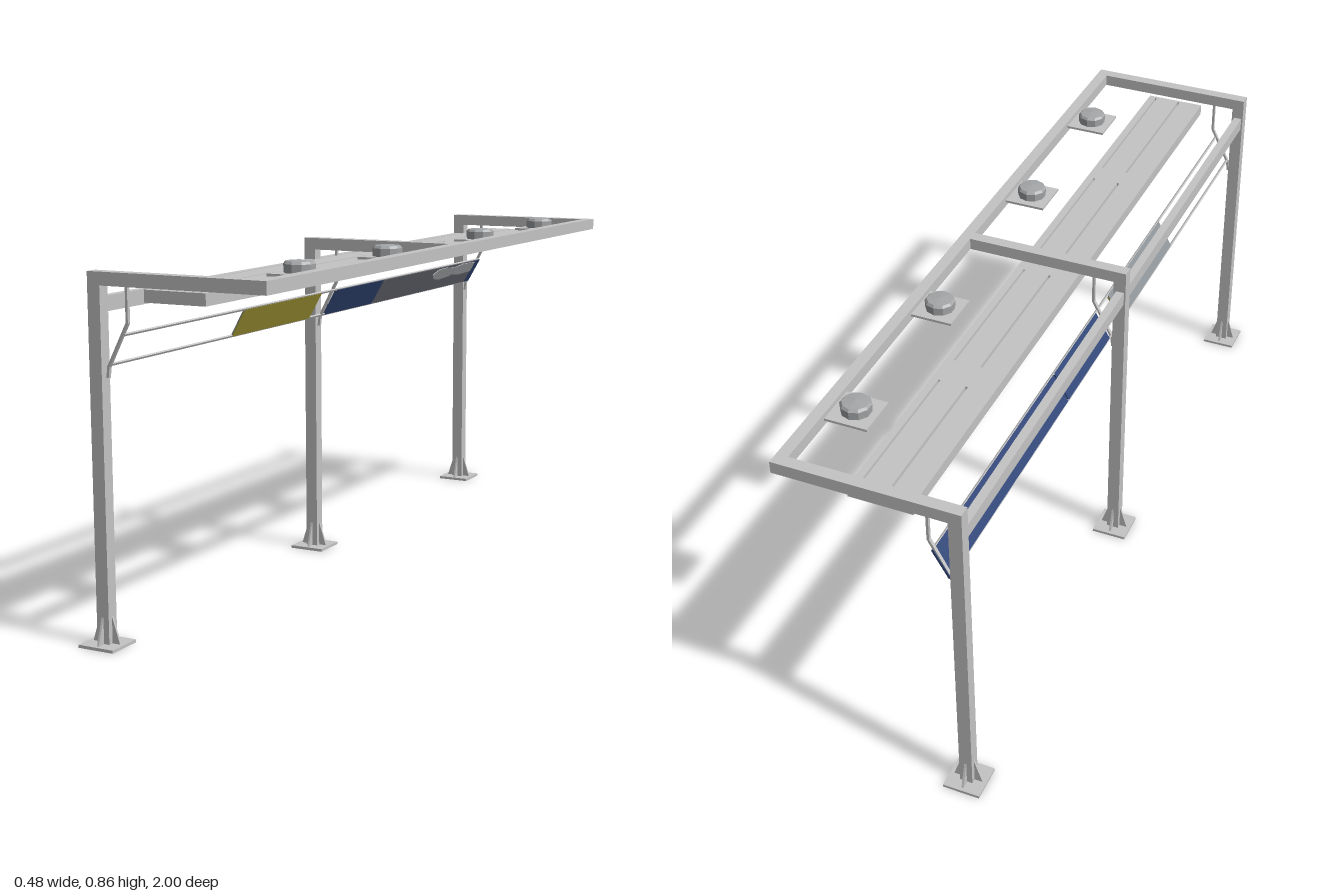
import * as THREE from 'three';

const mat = (name, color) => Object.assign(new THREE.MeshStandardMaterial({ color }), { name });

export function createModel() {
  const root = new THREE.Group();
  root.name = 'lightingGantry';
  const steel = mat('lightSteel', 0xc4c4c4);
  const lampGrey = mat('lampGrey', 0xa4a6a8);
  const navy = mat('navy', 0x34497a);
  const slate = mat('slateGrey', 0x70707c);
  const pale = mat('paleGrey', 0xb0b4b6);
  const backGrey = mat('panelGrey', 0x8e9498);
  const olive = mat('oliveYellow', 0xb5a83a);

  const add = (name, geo, m, parent = root) => {
    const mesh = new THREE.Mesh(geo, m);
    mesh.name = name;
    parent.add(mesh);
    return mesh;
  };
  // Box given by its limits on each axis
  const box = (name, m, x0, x1, y0, y1, z0, z1, parent = root) => {
    const b = add(name, new THREE.BoxGeometry(x1 - x0, y1 - y0, z1 - z0), m, parent);
    b.position.set((x0 + x1) / 2, (y0 + y1) / 2, (z0 + z1) / 2);
    return b;
  };
  // Thin square bar through a list of [x, y] points at one z
  const bar = (name, pts, z, t, parent) => {
    for (let i = 1; i < pts.length; i++) {
      const [x0, y0] = pts[i - 1], [x1, y1] = pts[i];
      const b = add(name, new THREE.BoxGeometry(t, Math.hypot(x1 - x0, y1 - y0) + t * 0.4, t * 1.4), steel, parent);
      b.position.set((x0 + x1) / 2, (y0 + y1) / 2, z);
      b.rotation.z = -Math.atan2(x1 - x0, y1 - y0);
    }
  };

  // Gusset fin standing on the base plate
  const finShape = new THREE.Shape([[0, 0], [0.02, 0], [0, 0.062]].map(p => new THREE.Vector2(...p)));
  const finGeo = new THREE.ExtrudeGeometry(finShape, { depth: 0.005, bevelEnabled: false });
  finGeo.translate(0.016, 0.007, -0.0025);

  // Three portal frames: post, base, arm and bracket
  const postX = -0.194;
  for (const z of [-0.955, 0, 0.955]) {
    const frame = new THREE.Group();
    frame.name = 'portalFrame';
    root.add(frame);
    box('post', steel, postX - 0.016, postX + 0.016, 0.005, 0.84, z - 0.015, z + 0.015, frame);
    box('basePlate', steel, postX - 0.046, postX + 0.046, 0, 0.007, z - 0.045, z + 0.045, frame);
    for (let i = 0; i < 4; i++) {
      const fin = add('gusset', finGeo, steel, frame);
      fin.position.set(postX, 0, z);
      fin.rotation.y = i * Math.PI / 2;
    }
    box('arm', steel, postX + 0.016, 0.209, 0.81, 0.84, z - 0.015, z + 0.015, frame);
    bar('bracket', [[-0.121, 0.812], [-0.121, 0.73], [-0.172, 0.632], [-0.175, 0.608]], z - Math.sign(z) * 0.006, 0.006, frame);
  }

  // Long beams
  box('frontBeam', steel, 0.209, 0.238, 0.81, 0.84, -0.97, 0.97);
  box('rearBeam', steel, -0.206, -0.185, 0.75, 0.784, -0.95, 0.95);

  // Overhead tray: three slats with narrow slots, closed by bridges
  for (const [x0, x1] of [[-0.084, -0.021], [-0.015, 0.048], [0.053, 0.072]])
    box('traySlat', steel, x0, x1, 0.775, 0.803, -0.94, 0.94);
  for (const [x0, x1] of [[-0.021, -0.015], [0.048, 0.053]]) {
    for (const [z0, z1] of [[-0.94, -0.93], [-0.53, -0.45], [-0.04, 0.02], [0.44, 0.5], [0.93, 0.94]])
      box('trayBridge', steel, x0, x1, 0.775, 0.803, z0, z1);
  }

  // Lamps on square plates along the front beam
  const lampGeo = new THREE.LatheGeometry([[0.036, 0], [0.037, 0.02], [0.032, 0.026], [0, 0.029]]
    .map(p => new THREE.Vector2(...p)), 10).toNonIndexed();
  lampGeo.computeVertexNormals();
  for (const z of [-0.73, -0.30, 0.26, 0.69]) {
    const lamp = new THREE.Group();
    lamp.name = 'lamp';
    lamp.position.set(0.157, 0.828, z);
    root.add(lamp);
    box('lampPlate', steel, -0.053, 0.053, -0.006, 0, -0.053, 0.053, lamp);
    add('lampHousing', lampGeo, lampGrey, lamp);
    add('lampLens', new THREE.CylinderGeometry(0.037, 0.037, 0.004, 10), navy, lamp).position.y = -0.007;
  }

  // Sloping sign row; local +x is the face looking down and forward
  const signs = new THREE.Group();
  signs.name = 'signRow';
  signs.position.set(-0.15, 0.67, 0);
  signs.rotation.z = -Math.atan2(0.04, 0.07);
  root.add(signs);
  const h = 0.039;
  for (const y of [-h, h]) box('signRail', steel, -0.0025, 0.0025, y - 0.0025, y + 0.0025, -0.95, 0.95, signs);
  const panel = (name, back, front, z0, z1) => {
    box(name + 'Back', back, -0.003, 0, -h, h, z0, z1, signs);
    box(name + 'Face', front, 0, 0.003, -h, h, z0, z1, signs);
  };
  panel('shortPanel', backGrey, olive, 0.07, 0.45);
  panel('innerPanel', navy, navy, -0.288, -0.015);
  panel('middlePanel', navy, slate, -0.92, -0.293);
  panel('endPanel', navy, navy, -0.955, -0.92);

  // Pale silhouettes on the middle panel
  const patch = pts => {
    const g = new THREE.ExtrudeGeometry(new THREE.Shape(pts.map(p => new THREE.Vector2(...p))), { depth: 0.002, bevelEnabled: false });
    g.rotateY(Math.PI / 2);
    add('paleShape', g, pale, signs).position.x = 0.003;
  };
  patch([[0.63, 0.018], [0.65, 0.002], [0.69, -0.004], [0.76, 0], [0.772, 0.006], [0.772, 0.03], [0.72, 0.035], [0.66, 0.034]]);
  patch([[0.778, 0.004], [0.83, -0.002], [0.918, 0.002], [0.918, 0.034], [0.83, 0.037], [0.778, 0.03]]);

  return root;
}
